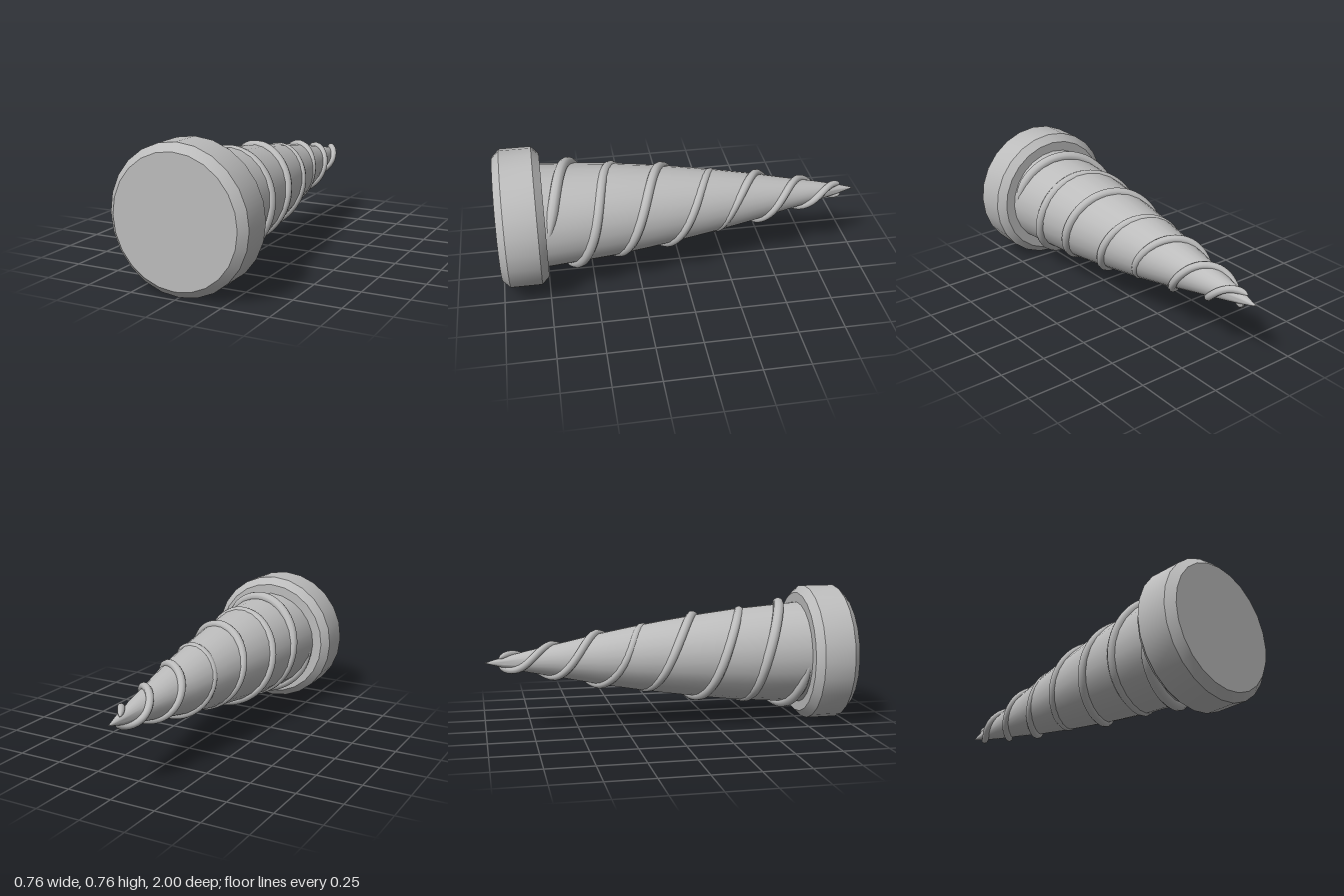
import * as THREE from 'three';
import { toCreasedNormals } from 'three/addons/utils/BufferGeometryUtils.js';

const grey = new THREE.MeshStandardMaterial({ color: 0xbcbcbc });
grey.name = 'grey';

const AXIS = 0.378; // height of the long axis

// Solid of revolution about z, from [radius, z] pairs running toward +z
function turned(name, profile, crease) {
  const geo = new THREE.LatheGeometry(profile.map(([r, z]) => new THREE.Vector2(r, z)), 24);
  geo.rotateX(Math.PI / 2);
  const mesh = new THREE.Mesh(toCreasedNormals(geo, crease), grey);
  mesh.name = name;
  return mesh;
}

// Quarter-turn stations of one strand: [z, outer distance from the axis]
const STATIONS = [
  [0.745, 0.295], [0.64, 0.311], [0.5, 0.285], [0.41, 0.268], [0.265, 0.263],
  [0.135, 0.247], [-0.02, 0.217], [-0.15, 0.187], [-0.26, 0.169], [-0.405, 0.159],
  [-0.535, 0.127], [-0.655, 0.104], [-0.775, 0.085], [-0.89, 0.056], [-0.925, 0.045],
];

// Tapered tube wound around the cone, beginning at the given angle
function strand(name, startAngle) {
  const stations = new THREE.CatmullRomCurve3(
    STATIONS.map(([z, r], i) => new THREE.Vector3(z, r, Math.min(i, 13.4))), false, 'catmullrom', 0.5);
  const thickness = (t) => 0.03 - 0.012 * t;
  const points = [];
  for (let i = 0; i <= 112; i++) {
    const t = i / 112;
    const s = stations.getPoint(t);
    const angle = startAngle + s.z * Math.PI / 2;
    const r = s.y - thickness(t);
    points.push(new THREE.Vector3(r * Math.cos(angle), r * Math.sin(angle), s.x));
  }
  const path = new THREE.CatmullRomCurve3(points);
  path.arcLengthDivisions = 600;
  const rings = 200, sides = 10;
  const geo = new THREE.TubeGeometry(path, rings, 1, sides, false);

  // Shrink each ring to the local thickness, closing both ends
  const pos = geo.attributes.position;
  const v = new THREE.Vector3();
  for (let i = 0; i <= rings; i++) {
    const u = i / rings;
    const centre = path.getPointAt(u);
    const ends = Math.min(1, Math.sqrt(u / 0.04), Math.sqrt((1 - u) / 0.012));
    const radius = thickness(path.getUtoTmapping(u)) * ends;
    for (let j = 0; j <= sides; j++) {
      const k = i * (sides + 1) + j;
      v.fromBufferAttribute(pos, k).sub(centre).multiplyScalar(radius).add(centre);
      pos.setXYZ(k, v.x, v.y, v.z);
    }
  }
  const mesh = new THREE.Mesh(geo, grey);
  mesh.name = name;
  return mesh;
}

export function createModel() {
  const group = new THREE.Group();
  group.name = 'spiralHorn';

  const body = new THREE.Group();
  body.name = 'body';
  body.position.y = AXIS;
  group.add(body);

  // Bevelled round base
  body.add(turned('baseDisc', [
    [0, 0.75], [0.338, 0.75], [0.378, 0.79], [0.378, 0.96], [0.338, 1], [0, 1],
  ], 0.5));

  // Long tapering cone
  body.add(turned('cone', [
    [0, -1], [0.028, -0.9], [0.06, -0.76], [0.092, -0.6], [0.135, -0.4],
    [0.172, -0.2], [0.204, 0], [0.233, 0.2], [0.257, 0.4], [0.285, 0.76],
  ], 0.6));

  // Two strands on opposite sides
  body.add(strand('strandLeft', 0), strand('strandRight', Math.PI));
  return group;
}
